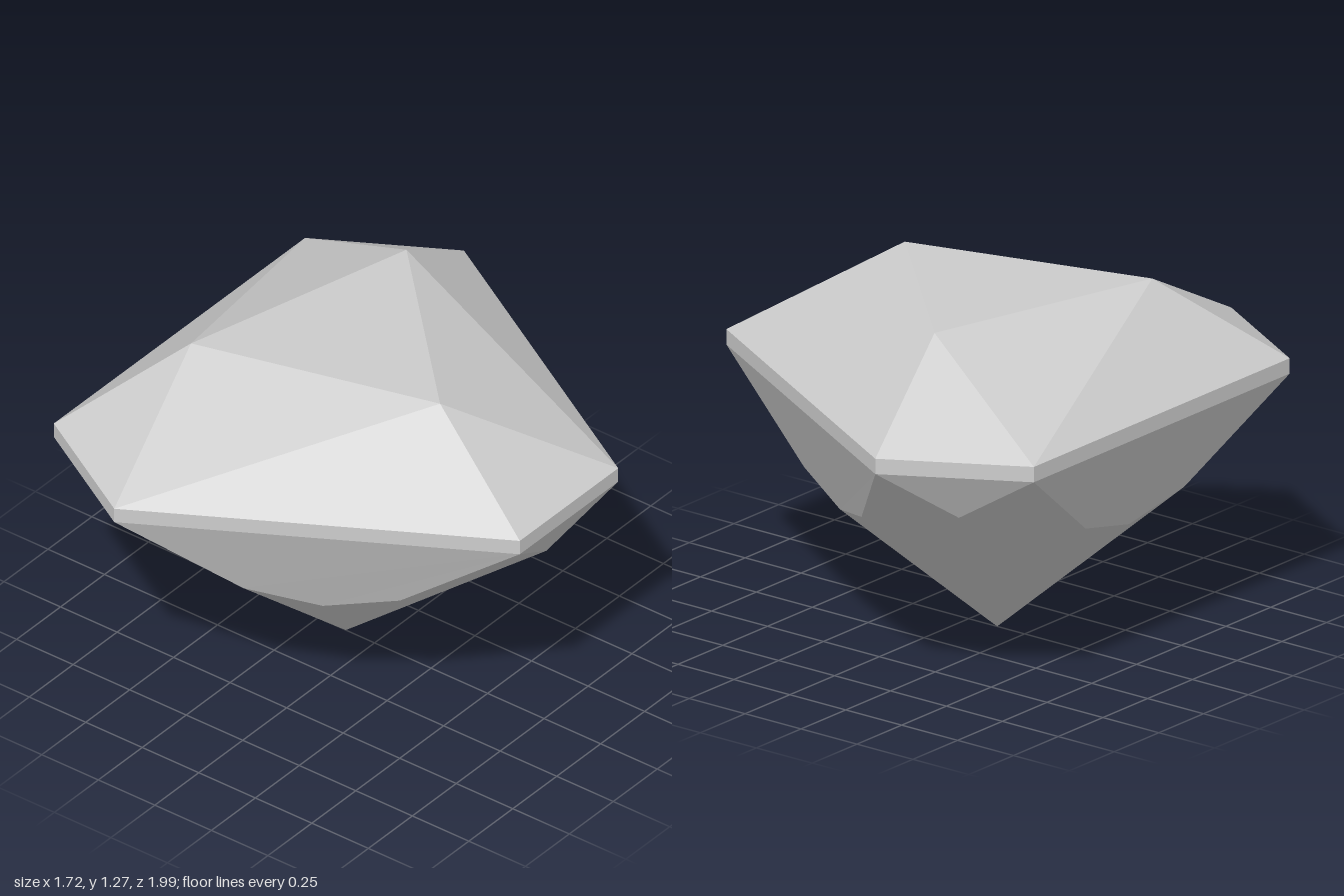
import * as THREE from 'three';

const AXIS_X = -0.127; // the gem's three-fold axis
const CORE = new THREE.Vector3(AXIS_X, 0.85, 0);

// Point around the gem's axis, angle in degrees
function polar(radius, degrees, y) {
  const a = THREE.MathUtils.degToRad(degrees);
  return new THREE.Vector3(AXIS_X + radius * Math.cos(a), y, radius * Math.sin(a));
}

// Flat facets from convex polygons, each fanned into triangles facing outward
function facets(name, polygons, material) {
  const points = [];
  for (const p of polygons) {
    for (let i = 1; i < p.length - 1; i++) {
      const tri = new THREE.Triangle(p[0], p[i], p[i + 1]);
      const normal = tri.getNormal(new THREE.Vector3());
      const outward = normal.dot(p[0].clone().sub(CORE)) > 0;
      points.push(...(outward ? [tri.a, tri.b, tri.c] : [tri.a, tri.c, tri.b]));
    }
  }
  const geometry = new THREE.BufferGeometry().setFromPoints(points);
  geometry.computeVertexNormals();
  const mesh = new THREE.Mesh(geometry, material);
  mesh.name = name;
  return mesh;
}

export function createModel() {
  const group = new THREE.Group();
  group.name = 'gem';
  const stone = new THREE.MeshStandardMaterial({ color: 0xcccccc, flatShading: true });
  stone.name = 'pale grey stone';

  const RIM = 1.026, HALF = 15.84, TOP = 0.96, LOW = 0.903;
  const apex = polar(0, 0, 0);
  const tablePoint = (turn) => polar(0.545, 15 + turn, 1.27);
  const table = [], crown = [], girdle = [], pavilion = [];

  for (const turn of [0, 120, 240]) {
    const rim = (degrees, y) => polar(RIM, degrees + turn, y);
    const near = tablePoint(turn), next = tablePoint(turn + 120);
    table.push(near);

    // Crown: three twisted triangles per third
    const b = rim(-HALF, TOP), c = rim(HALF, TOP), d = rim(120 - HALF, TOP);
    crown.push([near, b, c], [near, c, d], [near, d, next]);

    // Girdle: one short and one long side
    const b2 = rim(-HALF, LOW), c2 = rim(HALF, LOW), d2 = rim(120 - HALF, LOW);
    girdle.push([b, c, c2, b2], [c, d, d2, c2]);

    // Pavilion: facet under each side, then long facets down to the point
    const shortTip = polar(0.887, turn, 0.72);
    const t0 = polar(0.675, turn - 35.9, 0.58);
    const t1 = polar(0.675, turn + 35.9, 0.58);
    const t2 = polar(0.59, turn + 60, 0.513);
    const t3 = polar(0.675, turn + 84.1, 0.58);
    pavilion.push(
      [b2, c2, shortTip],
      [c2, t1, t2, t3, d2],
      [apex, shortTip, c2, t1],
      [apex, shortTip, b2, t0],
      [apex, t1, t2],
      [apex, t2, t3],
    );
  }

  group.add(
    facets('table', [table], stone),
    facets('crown', crown, stone),
    facets('girdle', girdle, stone),
    facets('pavilion', pavilion, stone),
  );
  return group;
}
